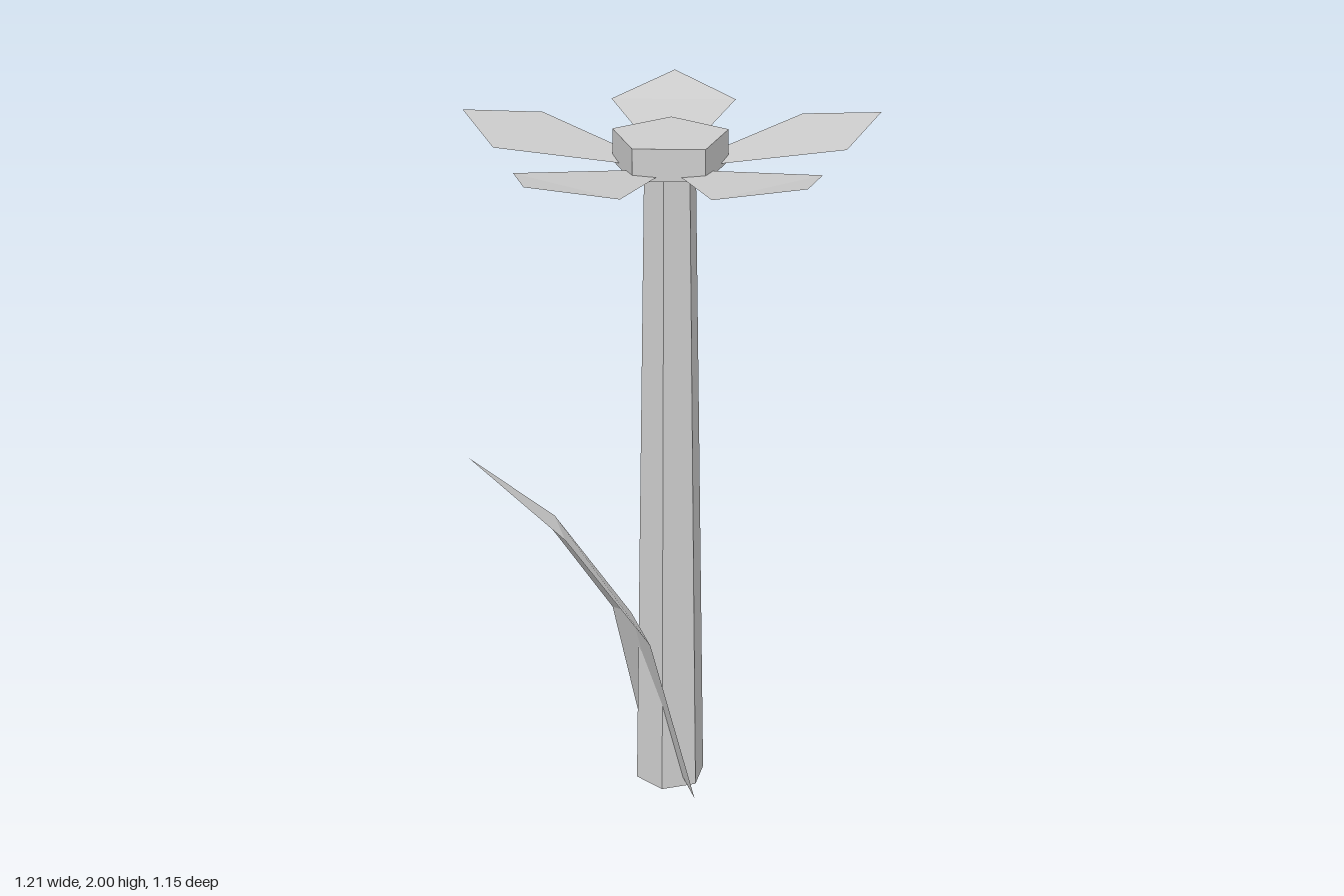
import * as THREE from 'three';

// Flat-faced surface from a few points and triangles
function facets(points, triangles) {
  const geometry = new THREE.BufferGeometry();
  geometry.setAttribute('position', new THREE.Float32BufferAttribute(points.flat(), 3));
  geometry.setIndex(triangles.flat());
  const flat = geometry.toNonIndexed();
  flat.computeVertexNormals();
  return flat;
}

export function createModel() {
  const group = new THREE.Group();
  const grey = new THREE.MeshStandardMaterial({
    name: 'plain grey', color: 0xcccccc, flatShading: true, side: THREE.DoubleSide,
  });
  const centreX = -0.005;

  const add = (name, geometry, y = 0, turn = 0) => {
    const mesh = new THREE.Mesh(geometry, grey);
    mesh.name = name;
    mesh.position.set(centreX, y, 0);
    mesh.rotation.y = turn;
    group.add(mesh);
    return mesh;
  };

  // Tapered six-sided stem
  add('stem', new THREE.CylinderGeometry(0.073, 0.104, 1.9, 6, 1, false, Math.PI / 2), 0.95);

  // Five-sided flower centre, one corner towards +x
  add('flowerCentre', new THREE.CylinderGeometry(0.165, 0.165, 0.09, 5, 1, false, Math.PI / 2), 1.945);

  // Five kite-shaped petals, bent up a little more at the tips
  const petal = facets(
    [[0.1, 1.908, 0.04], [0.1, 1.908, -0.04], [0.44, 1.96, 0.177], [0.44, 1.96, -0.177], [0.605, 2, 0]],
    [[0, 2, 3], [0, 3, 1], [2, 4, 3]],
  );
  for (let i = 0; i < 5; i++) add(`petal${i + 1}`, petal, 0, i * Math.PI * 2 / 5);

  // Creased leaf: [reach, edge height, crease height, half width] per section
  const sections = [[0, 0, 0.06, 0.17], [0.125, 0.525, 0.57, 0.133], [0.358, 0.885, 0.93, 0.075]];
  const points = [];
  const triangles = [];
  sections.forEach(([reach, edgeY, creaseY, half], i) => {
    points.push([-reach, edgeY, half], [-reach, creaseY, 0], [-reach, edgeY, -half]);
    if (i === 0) return;
    for (let side = 0; side < 2; side++) {
      const a = (i - 1) * 3 + side;
      triangles.push([a, a + 1, a + 4], [a, a + 4, a + 3]);
    }
  });
  points.push([-0.607, 1.155, 0]);
  triangles.push([6, 7, 9], [7, 8, 9]);
  add('leaf', facets(points, triangles), 0, 0.149);

  return group;
}
